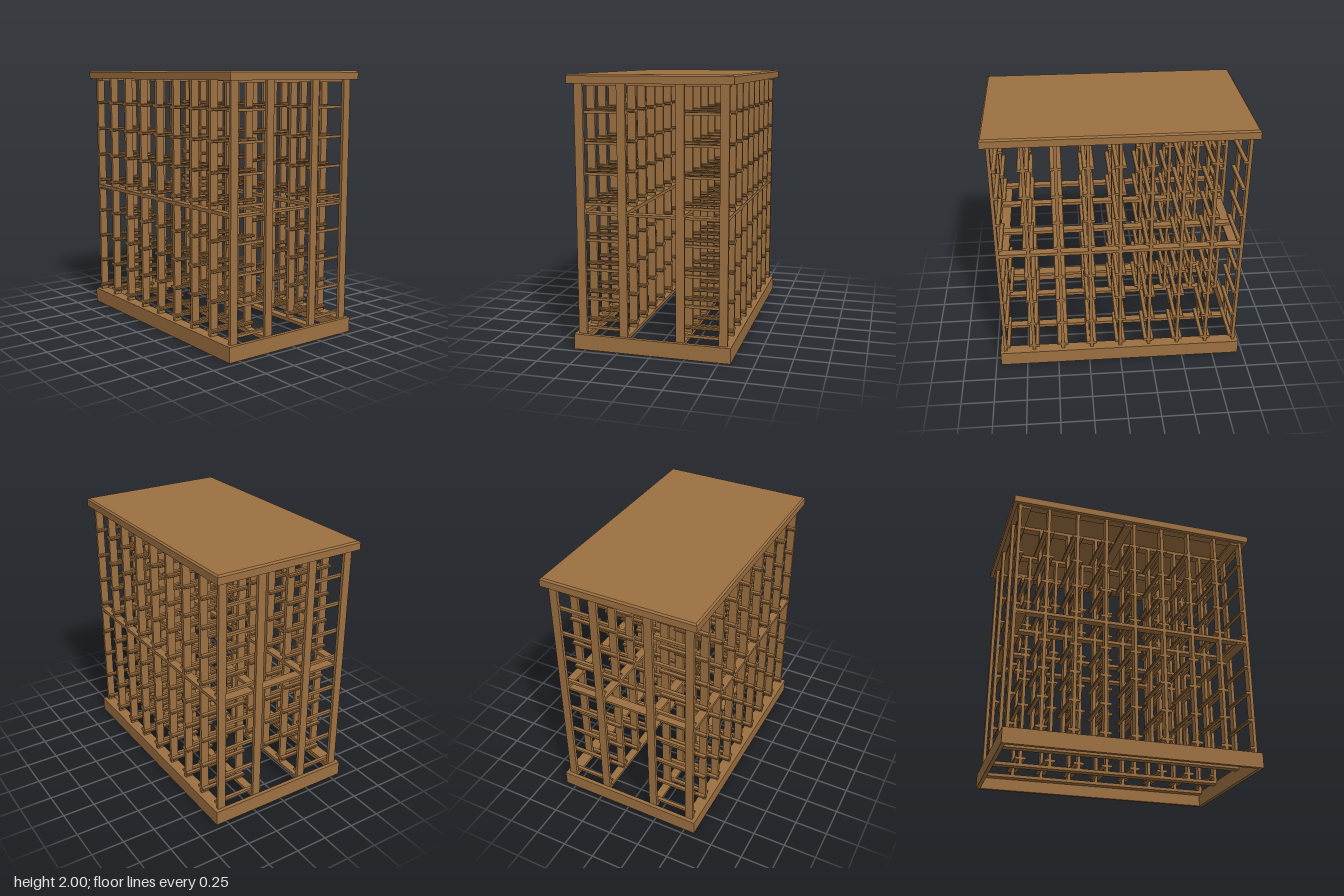
import * as THREE from 'three';

const wood = new THREE.MeshStandardMaterial({ color: 0x9c7041 });
wood.name = 'wood';

export function createModel() {
  const rack = new THREE.Group();
  rack.name = 'slattedRack';

  const add = (name, geometry) => {
    const mesh = new THREE.Mesh(geometry, wood);
    mesh.name = name;
    rack.add(mesh);
    return mesh;
  };

  // A board given by its lowest and highest corner
  const board = (name, x0, x1, y0, y1, z0, z1) => {
    const mesh = add(name, new THREE.BoxGeometry(x1 - x0, y1 - y0, z1 - z0));
    mesh.position.set((x0 + x1) / 2, (y0 + y1) / 2, (z0 + z1) / 2);
    return mesh;
  };

  // Four boards forming an open rectangular skirt
  const skirt = (name, hx, hz, t, y0, y1) => {
    for (const s of [-1, 1]) {
      const z = s * (hz - t / 2), x = s * (hx - t / 2);
      board(name + 'Long', -hx, hx, y0, y1, z - t / 2, z + t / 2);
      board(name + 'Short', x - t / 2, x + t / 2, y0, y1, -hz + t, hz - t);
    }
  };

  // Plinth and top with a hollow underside
  skirt('plinth', 0.96, 0.585, 0.03, 0, 0.115);
  skirt('topTrim', 0.975, 0.595, 0.03, 1.935, 1.96);
  board('topPanel', -0.975, 0.975, 1.96, 1.988, -0.595, 0.595);

  // Bevelled upper edge of the top
  const bevel = new THREE.BoxGeometry(1.95, 0.012, 1.19).toNonIndexed();
  const p = bevel.attributes.position;
  for (let i = 0; i < p.count; i++) {
    if (p.getY(i) > 0) {
      p.setX(i, Math.sign(p.getX(i)) * 0.963);
      p.setZ(i, Math.sign(p.getZ(i)) * 0.583);
    }
  }
  bevel.computeVertexNormals();
  add('topBevel', bevel).position.y = 1.994;

  // Posts stand in four rows; long rails run below, between and above the tiers
  const rows = [-0.525, -0.212, 0.212, 0.525];
  const postX = Array.from({ length: 9 }, (_, i) => -0.92 + i * 0.23);
  const tiers = [[0.115, 1.013], [1.038, 1.935]];
  for (const z of rows) {
    for (const y of [0.09, 1.013, 1.935]) {
      board('longRail', -0.9325, 0.9325, y, y + 0.025, z - 0.0315, z + 0.0315);
    }
    for (const x of postX) {
      for (const [y0, y1] of tiers) {
        board('post', x - 0.0125, x + 0.0125, y0, y1, z - 0.0315, z + 0.0315);
      }
    }
  }

  // Cross ties joining the front and back ladders
  for (const y of [1.001, 1.918]) {
    board('leftTie', 0.835, 0.908, y, y + 0.018, -0.55, 0.55);
    board('rightTie', -0.908, -0.835, y, y + 0.018, -0.55, 0.55);
  }
  board('middleTie', -0.08, -0.0125, 1.918, 1.935, -0.55, 0.55);

  // Bearer slats on both sides of every post pair, outer edges eased
  const profile = new THREE.Shape([
    [0, -0.01], [0.026, -0.01], [0.031, -0.005],
    [0.031, 0.005], [0.026, 0.01], [0, 0.01],
  ].map(([x, y]) => new THREE.Vector2(x, y)));
  const slat = new THREE.ExtrudeGeometry(profile, { depth: 0.374, bevelEnabled: false });
  slat.translate(0, 0, -0.187);

  for (const first of [0.157, 1.079]) {
    for (let k = 0; k < 4; k++) {
      for (const z of [-0.3685, 0.3685]) {
        postX.forEach((x, i) => {
          for (const side of [-1, 1]) {
            if ((i === 0 && side < 0) || (i === 8 && side > 0)) continue;
            const mesh = add('bearerSlat', slat);
            mesh.position.set(x + side * 0.0125, first + k * 0.219, z);
            if (side < 0) mesh.rotation.y = Math.PI;
          }
        });
      }
    }
  }

  return rack;
}
